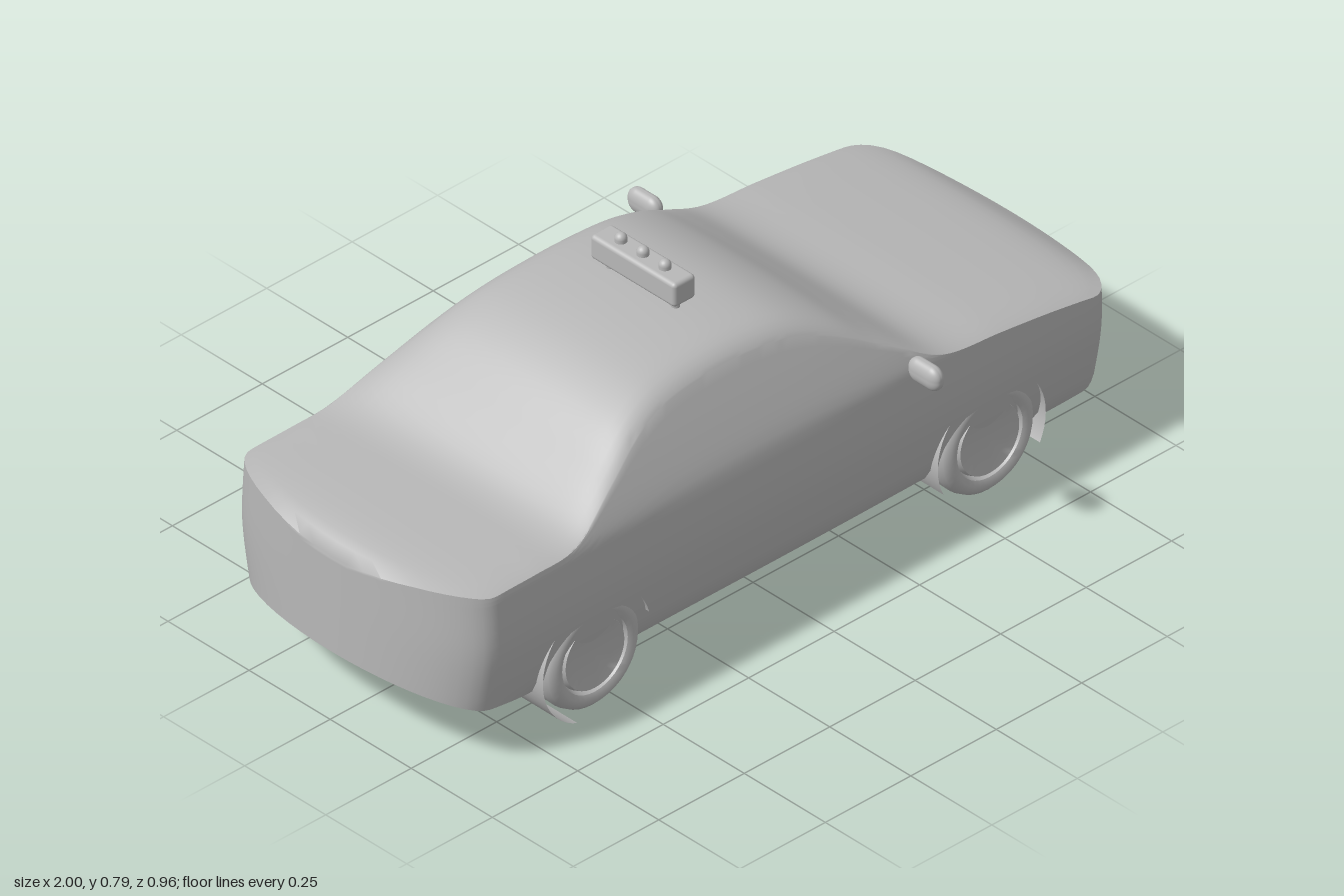
import * as THREE from 'three';
import { toCreasedNormals } from 'three/addons/utils/BufferGeometryUtils.js';
import { RoundedBoxGeometry } from 'three/addons/geometries/RoundedBoxGeometry.js';

// Smooth lookup through [position, value] pairs
function profile(pts) {
  const slope = (i) => {
    const a = pts[Math.max(i - 1, 0)], b = pts[Math.min(i + 1, pts.length - 1)];
    return (b[1] - a[1]) / (b[0] - a[0]);
  };
  return (x) => {
    if (x <= pts[0][0]) return pts[0][1];
    for (let i = 0; i < pts.length - 1; i++) {
      const [x0, y0] = pts[i], [x1, y1] = pts[i + 1];
      if (x > x1) continue;
      const h = x1 - x0, s = (x - x0) / h, s2 = s * s, s3 = s2 * s;
      return y0 * (2 * s3 - 3 * s2 + 1) + y1 * (3 * s2 - 2 * s3)
        + h * (slope(i) * (s3 - 2 * s2 + s) + slope(i + 1) * (s3 - s2));
    }
    return pts[pts.length - 1][1];
  };
}

const topLine = profile([[-1, 0.428], [-0.97, 0.452], [-0.9, 0.464], [-0.75, 0.467], [-0.66, 0.47],
  [-0.6, 0.492], [-0.5, 0.564], [-0.4, 0.634], [-0.3, 0.672], [-0.15, 0.686], [0, 0.68], [0.1, 0.66],
  [0.2, 0.615], [0.3, 0.545], [0.4, 0.478], [0.47, 0.455], [0.6, 0.443], [0.8, 0.417], [0.93, 0.39], [1, 0.35]]);
const bottomLine = profile([[-1, 0.18], [-0.85, 0.142], [-0.68, 0.115], [0.75, 0.115], [1, 0.148]]);
const halfWidth = profile([[0.11, 0.333], [0.13, 0.35], [0.16, 0.361], [0.3, 0.385], [0.42, 0.381],
  [0.46, 0.374], [0.55, 0.332], [0.64, 0.285], [0.69, 0.262]]);

// Body shell: a gridded box bent to the profiles
function bodyGeometry() {
  const geo = new THREE.BoxGeometry(2, 1, 2, 84, 18, 24);
  const p = geo.attributes.position;
  for (let i = 0; i < p.count; i++) {
    const t = Math.sin(p.getZ(i) * Math.PI / 2);
    const v = p.getY(i) + 0.5;
    const x = p.getX(i) * (0.87 + 0.13 * Math.sqrt(Math.max(0, 1 - t * t)));
    const top = topLine(x), bottom = bottomLine(x);
    const drop = 0.016 + 0.029 * THREE.MathUtils.smoothstep(top, 0.47, 0.66);
    const edge = top - drop;
    const belt = Math.min(0.42, edge - 0.02);
    const y = v < 0.5 ? THREE.MathUtils.lerp(bottom, belt, v * 2)
      : THREE.MathUtils.lerp(belt, edge, v * 2 - 1);
    const crown = drop * (1 - 0.35 * t * t - 0.65 * Math.pow(Math.abs(t), 12)) * Math.pow(v, 6);
    p.setXYZ(i, x, y + crown, t * halfWidth(y));
  }
  return toCreasedNormals(geo, 0.9);
}

// Tyre with a dished hub, axis along z, outer face at +z
function wheelGeometry() {
  const pts = [[0, 0.29], [0.118, 0.29], [0.13, 0.297], [0.136, 0.312], [0.137, 0.352], [0.132, 0.368],
    [0.12, 0.379], [0.108, 0.38], [0.096, 0.374], [0.091, 0.36], [0.086, 0.374], [0.06, 0.37], [0, 0.364]];
  const geo = new THREE.LatheGeometry(pts.map(([r, z]) => new THREE.Vector2(r, z)), 40);
  return toCreasedNormals(geo.rotateX(Math.PI / 2), 0.7);
}

export function createModel() {
  const model = new THREE.Group();
  model.name = 'car';
  const grey = new THREE.MeshStandardMaterial({ color: 0xb8b8b8, side: THREE.DoubleSide });
  grey.name = 'plain grey';

  const add = (name, geo, x = 0, y = 0, z = 0, parent = model) => {
    const mesh = new THREE.Mesh(geo, grey);
    mesh.name = name;
    mesh.position.set(x, y, z);
    parent.add(mesh);
    return mesh;
  };

  add('body', bodyGeometry());

  // Wheels and their open arch liners, each liner ending at its own angle
  const wheel = wheelGeometry();
  const sweep = THREE.MathUtils.degToRad(234);
  const wheels = [
    ['frontRight', 0.575, 1, -27], ['frontLeft', 0.575, -1, -7],
    ['rearRight', -0.58, 1, 15], ['rearLeft', -0.58, -1, 26],
  ];
  for (const [name, x, side, start] of wheels) {
    add(name + 'Wheel', wheel, x, 0.158, 0).rotation.y = side > 0 ? 0 : Math.PI;
    const liner = new THREE.CylinderGeometry(0.158, 0.158, 0.13, 36, 1, true,
      THREE.MathUtils.degToRad(start + 90), sweep).rotateX(Math.PI / 2);
    add(name + 'ArchLiner', liner, x, 0.158, side * 0.315);
  }

  // Door mirrors
  const mirror = new RoundedBoxGeometry(0.06, 0.06, 0.095, 6, 0.027);
  for (const side of [-1, 1]) {
    add('doorMirror', mirror, 0.333, 0.476, side * 0.433).scale.x = 0.63;
  }

  // Roof light bar
  const bar = new THREE.Group();
  bar.name = 'roofLightBar';
  bar.position.x = -0.085;
  model.add(bar);
  add('barCase', new RoundedBoxGeometry(0.064, 0.061, 0.262, 4, 0.01), 0, 0.736, 0, bar);
  for (const z of [-0.1, 0.1]) {
    add('barFoot', new THREE.CylinderGeometry(0.01, 0.01, 0.05, 16), 0, 0.69, z, bar);
  }
  for (const z of [-0.068, 0, 0.068]) {
    add('barLampBase', new THREE.CylinderGeometry(0.014, 0.014, 0.012, 20), 0, 0.768, z, bar);
    add('barLamp', new THREE.SphereGeometry(0.014, 20, 8, 0, Math.PI * 2, 0, Math.PI / 2), 0, 0.774, z, bar);
  }
  return model;
}
